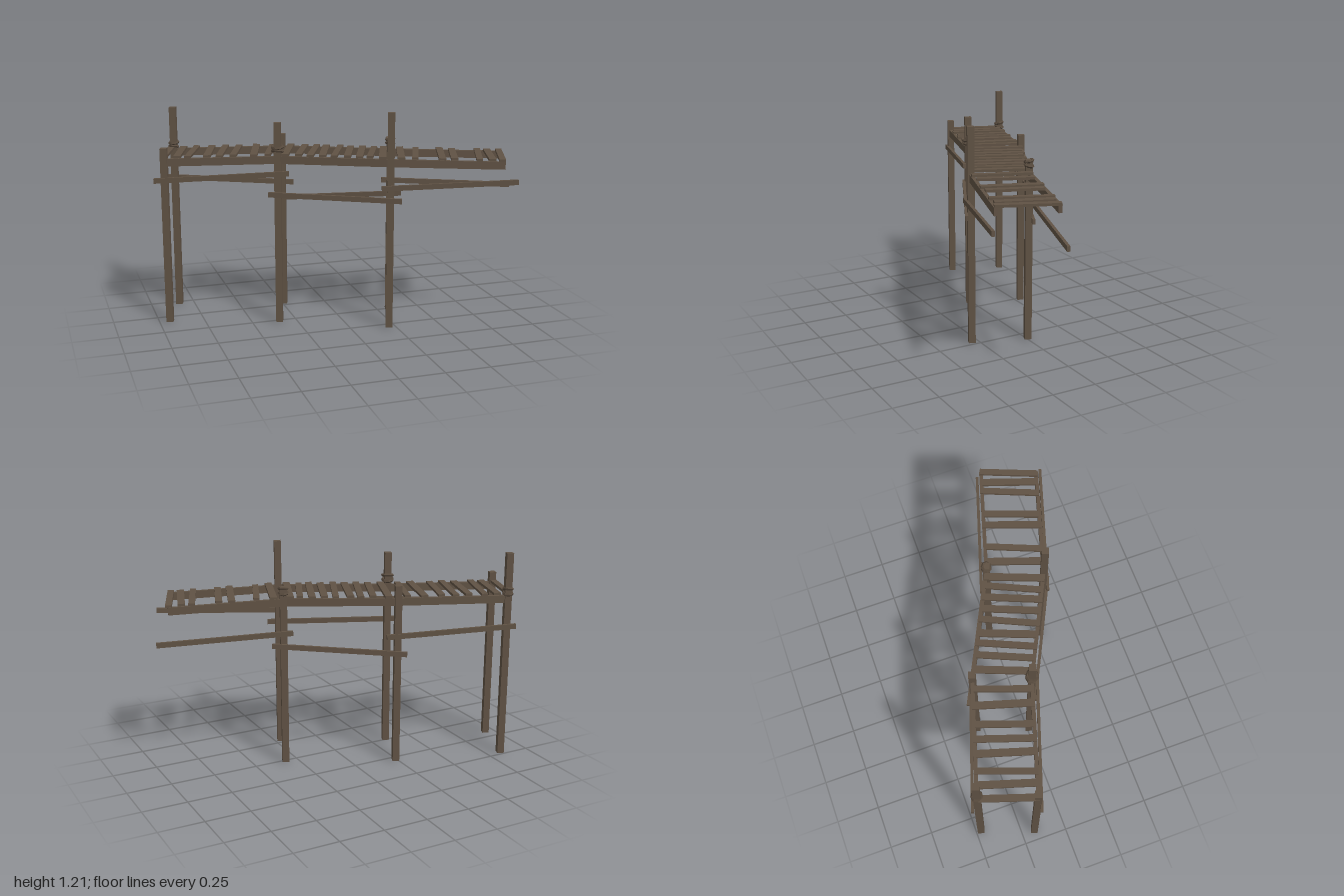
import * as THREE from 'three';

const wood = new THREE.MeshStandardMaterial({ color: 0x605244, flatShading: true });
wood.name = 'weathered wood';
const rope = new THREE.MeshStandardMaterial({ color: 0x574a3d, flatShading: true });
rope.name = 'old rope';

const V = (x, y, z) => new THREE.Vector3(x, y, z);

// Square timber running between two points
function beam(name, a, b, width, height) {
  const mesh = new THREE.Mesh(new THREE.BoxGeometry(width, height, a.distanceTo(b)), wood);
  mesh.name = name;
  mesh.position.copy(a).add(b).multiplyScalar(0.5);
  mesh.lookAt(b);
  return mesh;
}

export function createModel() {
  const group = new THREE.Group();
  group.name = 'boardwalk';

  // Row centres along the bent walkway; y is the middle of the stringers
  const rows = [V(-0.8875, 0.92, -0.3225), V(-0.2925, 0.934, -0.1375), V(0.2675, 0.934, 0.14), V(0.862, 0.918, 0.317)];
  const half = V(-0.0525, 0, 0.1475);

  // Posts: [row, side (1 = front), height]
  const posts = [[0, 1, 1.0], [0, -1, 1.18], [1, 1, 1.14], [1, -1, 1.025], [2, 1, 1.21], [2, -1, 1.02]];
  for (const [row, side, height] of posts) {
    const post = new THREE.Mesh(new THREE.BoxGeometry(0.038, height, 0.038), wood);
    post.name = 'post';
    post.position.copy(rows[row]).addScaledVector(half, side).setY(height / 2);
    post.rotation.y = -0.34;
    group.add(post);
  }

  // Stringers and planks of the three spans
  const spans = [
    { angle: 0.32, xs: [-0.895, -0.826, -0.762, -0.67, -0.6, -0.527, -0.425, -0.345] },
    { angle: 0.4, xs: [-0.25, -0.18, -0.12, -0.065, 0, 0.06, 0.12, 0.175, 0.23] },
    { angle: 0.36, xs: [0.32, 0.4, 0.535, 0.6, 0.735, 0.795, 0.853] },
  ];
  spans.forEach(({ angle, xs }, s) => {
    const a = rows[s], b = rows[s + 1];
    for (const side of [-1, 1]) {
      group.add(beam('stringer', a.clone().addScaledVector(half, side), b.clone().addScaledVector(half, side), 0.02, 0.042));
    }
    xs.forEach((x, i) => {
      const wobble = Math.sin(i * 2.4 + s);
      const plank = new THREE.Mesh(new THREE.BoxGeometry(0.037 + 0.003 * wobble, 0.014, 0.315 + 0.012 * Math.cos(i * 3.1)), wood);
      plank.name = 'plank';
      plank.position.lerpVectors(a, b, (x - a.x) / (b.x - a.x));
      plank.position.y += 0.027;
      plank.rotation.set(0, -angle + 0.03 * wobble, 0.03 * Math.cos(i * 1.7));
      group.add(plank);
    });
  });

  // Sloping braces nailed outside the posts
  const braces = [
    [V(-1, 0.82, -0.175), V(-0.295, 0.863, 0.06)],
    [V(-0.87, 0.768, -0.51), V(-0.175, 0.738, -0.28)],
    [V(-0.4, 0.742, 0.012), V(0.262, 0.729, 0.337)],
    [V(-0.275, 0.64, -0.332), V(0.388, 0.693, 0)],
    [V(0.16, 0.797, 0.296), V(0.868, 0.832, 0.512)],
    [V(0.285, 0.767, -0.053), V(0.99, 0.738, 0.168)],
  ];
  for (const [a, b] of braces) group.add(beam('brace', a, b, 0.016, 0.028));

  // Tilted rope coils around the tall posts: [x, y, z, radius]
  const coils = [[-0.835, 0.965, -0.47, 0.024], [-0.345, 0.995, 0.01, 0.029], [0.32, 1.0, -0.0075, 0.022]];
  for (const [x, y, z, r] of coils) {
    const knot = new THREE.Group();
    knot.name = 'ropeCoil';
    knot.position.set(x, y, z);
    for (const k of [-1, 1]) {
      const loop = new THREE.Mesh(new THREE.TorusGeometry(r, 0.009, 5, 7), rope);
      loop.name = 'ropeLoop';
      loop.position.y = k * 0.012;
      loop.rotation.set(Math.PI / 2 + k * 0.2, k * 0.15, k * 0.4);
      knot.add(loop);
    }
    group.add(knot);
  }
  return group;
}
